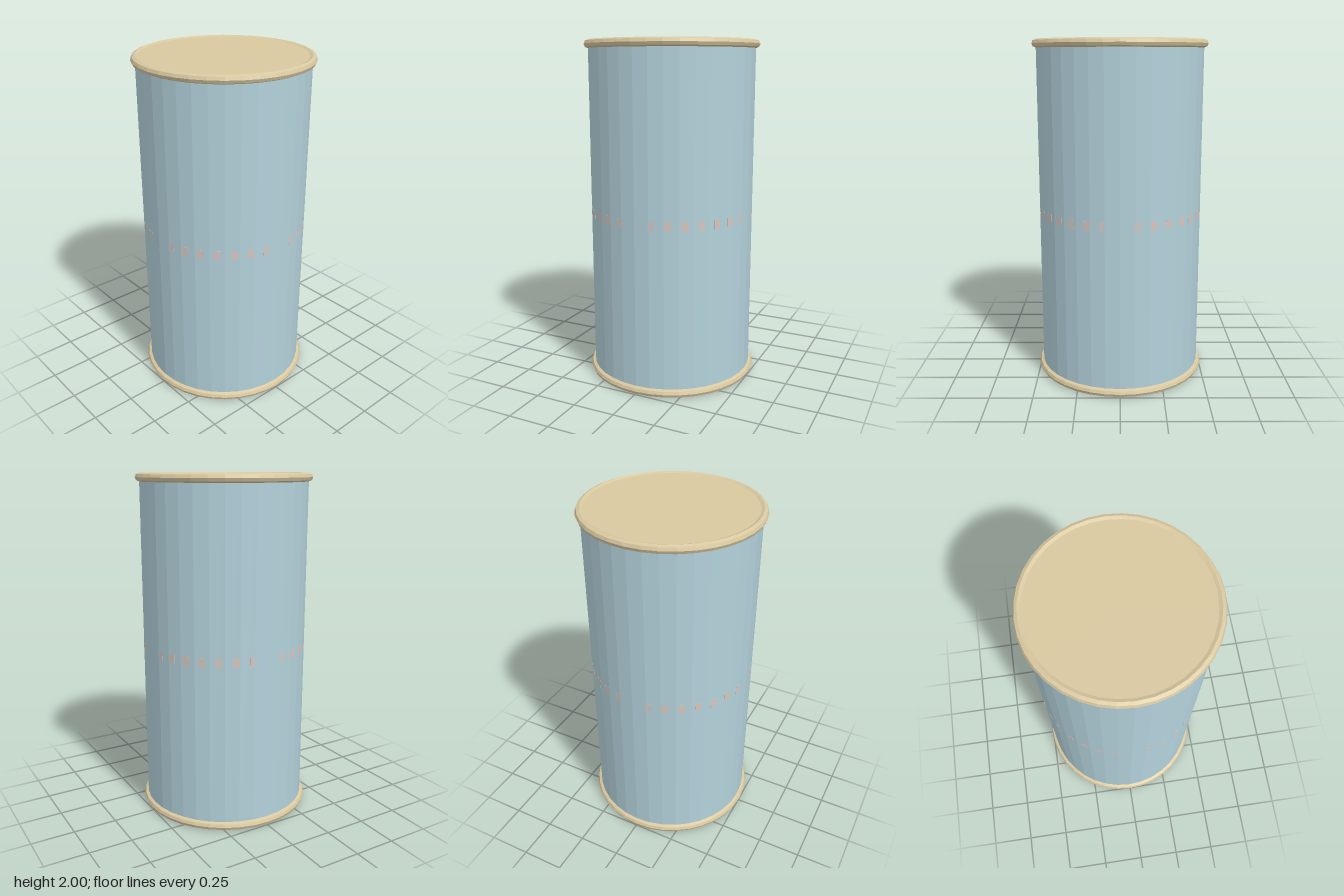
import * as THREE from 'three';

export function createModel() {
  const mat = (name, color) => {
    const m = new THREE.MeshStandardMaterial({ color, flatShading: true });
    m.name = name;
    return m;
  };
  const blue = mat('pale blue', 0xb3d1db);
  const beige = mat('beige', 0xd8c8a0);
  const pink = mat('pale pink', 0xd6c5bf);

  const SIDES = 36, R = 0.485, TUBE = 0.024;
  const group = new THREE.Group();
  const add = (name, geometry, material) => {
    const mesh = new THREE.Mesh(geometry, material);
    mesh.name = name;
    group.add(mesh);
    return mesh;
  };

  // Can body: blue wall and base, beige lid
  const body = add('body', new THREE.CylinderGeometry(R, R, 1.986, SIDES), [blue, beige, blue]);
  body.position.y = 1;

  // Rolled rims at both ends
  for (const [name, y] of [['bottomRim', TUBE], ['topRim', 2 - TUBE]]) {
    const rim = add(name, new THREE.TorusGeometry(R, TUBE, 8, SIDES), beige);
    rim.rotation.x = Math.PI / 2;
    rim.position.y = y;
  }

  // Dashes around the middle, with a gap on each of the four sides
  const band = new THREE.Group();
  band.name = 'dashBand';
  const dash = new THREE.BoxGeometry(0.038, 0.052, 0.006);
  for (let i = 0; i < 32; i++) {
    if (i % 8 === 0) continue;
    const a = (i / 32) * Math.PI * 2;
    const mesh = new THREE.Mesh(dash, pink);
    mesh.name = 'dash';
    mesh.position.set(Math.sin(a) * 0.4815, 1.002, Math.cos(a) * 0.4815);
    mesh.rotation.y = a;
    band.add(mesh);
  }
  group.add(band);

  return group;
}
